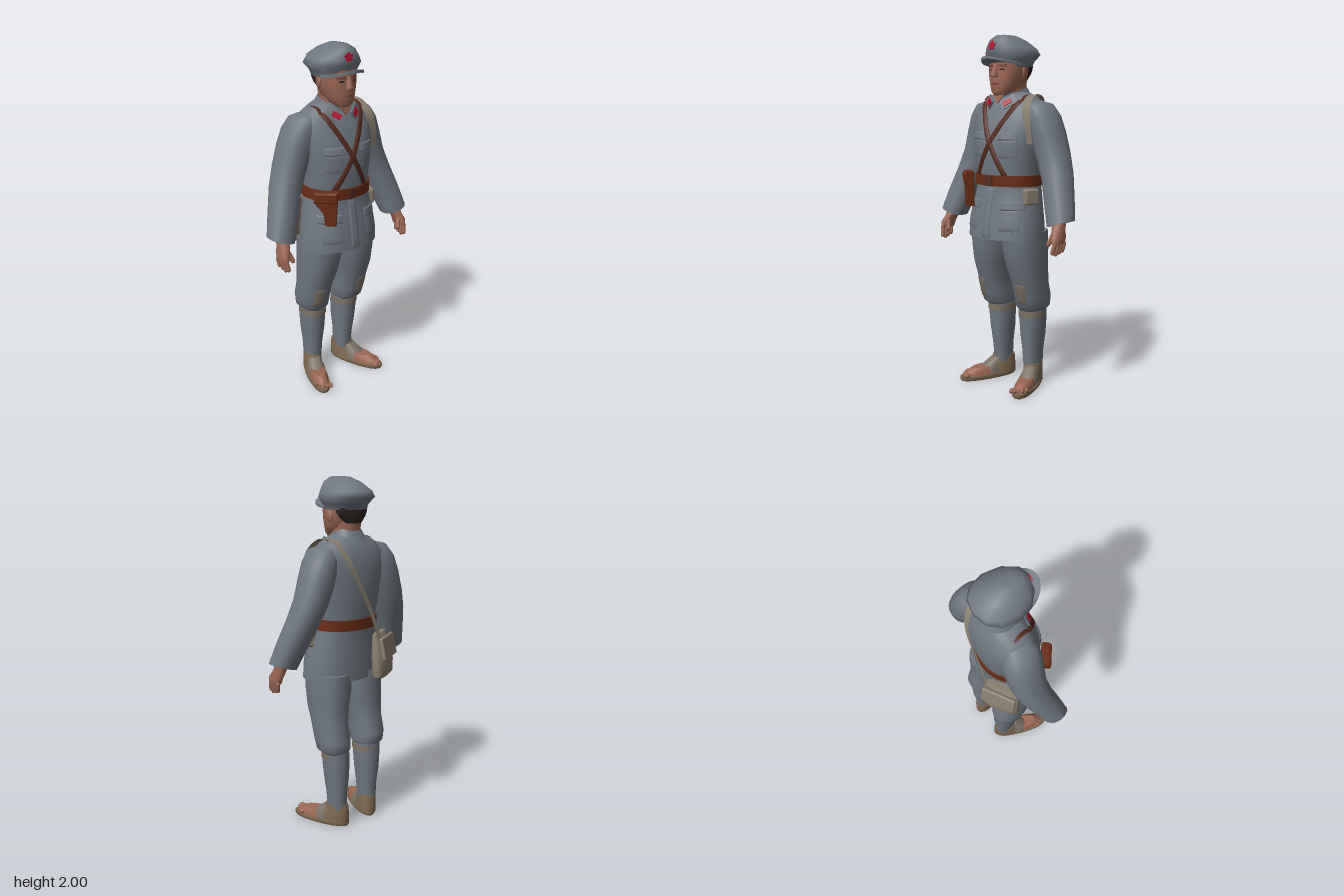
import * as THREE from 'three';
import { RoundedBoxGeometry } from 'three/addons/geometries/RoundedBoxGeometry.js';

const mat = (name, color, double) => {
  const m = new THREE.MeshStandardMaterial({ color });
  m.name = name;
  if (double) m.side = THREE.DoubleSide;
  return m;
};
const P = 2.25; // roundness of every cross-section
const pw = (c) => Math.sign(c) * Math.abs(c) ** (2 / P);

// Smooth skin through horizontal rings, listed bottom to top: [y, x, z, rx, rz, tilt]
function loft(secs, n = 24, capped = true) {
  const pos = [], idx = [];
  const ring = ([y, x, z, rx, rz, t = 0]) => {
    for (let i = 0; i < n; i++) {
      const a = (i / n) * Math.PI * 2, u = rx * pw(Math.cos(a));
      pos.push(x + u * Math.cos(t), y + u * Math.sin(t), z + rz * pw(Math.sin(a)));
    }
  };
  secs.forEach(ring);
  for (let j = 0; j < secs.length - 1; j++) for (let i = 0; i < n; i++) {
    const k = (i + 1) % n, a = j * n + i, b = a + n, c = j * n + k, d = c + n;
    idx.push(a, b, c, b, d, c);
  }
  if (capped) [secs[0], secs[secs.length - 1]].forEach((s, e) => {
    const o = pos.length / 3;
    ring(s);
    pos.push(s[1], s[0], s[2]);
    for (let i = 0; i < n; i++) {
      const k = (i + 1) % n;
      if (e) idx.push(o + n, o + k, o + i); else idx.push(o + n, o + i, o + k);
    }
  });
  return build(pos, idx);
}
function build(pos, idx) {
  const g = new THREE.BufferGeometry();
  g.setAttribute('position', new THREE.Float32BufferAttribute(pos, 3));
  g.setIndex(idx);
  g.computeVertexNormals();
  return g;
}
// Front z of a lofted body at x, y
function frontZ(secs, x, y) {
  let j = 0;
  while (j < secs.length - 2 && secs[j + 1][0] < y) j++;
  const A = secs[j], B = secs[j + 1], t = THREE.MathUtils.clamp((y - A[0]) / (B[0] - A[0]), 0, 1);
  const [, cx, cz, rx, rz] = A.map((v, i) => v + (B[i] - v) * t);
  const q = Math.min(1, Math.abs((x - cx) / rx));
  return cz + rz * (1 - q ** P) ** (1 / P);
}
// Thin panel laid on the front of a body, edges tucked in; corners bl, br, tr, tl
function patch(secs, [bl, br, tr, tl], off, nu = 5, nv = 7) {
  const pos = [], idx = [], mix = THREE.MathUtils.lerp;
  const step = (i, n) => (i === 0 ? 0 : i === n ? 1 : 0.04 + (0.92 * (i - 1)) / (n - 2));
  for (let v = 0; v <= nv; v++) for (let u = 0; u <= nu; u++) {
    const s = step(u, nu), t = step(v, nv), edge = u % nu === 0 || v % nv === 0;
    const x = mix(mix(bl[0], br[0], s), mix(tl[0], tr[0], s), t);
    const y = mix(mix(bl[1], br[1], s), mix(tl[1], tr[1], s), t);
    pos.push(x, y, frontZ(secs, x, y) + (edge ? -0.003 : off));
    if (u < nu && v < nv) {
      const a = v * (nu + 1) + u, b = a + nu + 1;
      idx.push(a, a + 1, b, a + 1, b + 1, b);
    }
  }
  return build(pos, idx);
}
const rect = (x, y, w, h) => [[x - w, y - h], [x + w, y - h], [x + w, y + h], [x - w, y + h]];
// Ribbon along a curve, its width running sideways and changing from w0 to w1
function ribbon(points, w0, w1, n = 40) {
  const c = new THREE.CatmullRomCurve3(points.map((p) => new THREE.Vector3(...p)));
  const pos = [], idx = [];
  c.getPoints(n).forEach((p, i) => {
    const w = w0 + ((w1 - w0) * i) / n;
    pos.push(p.x - w, p.y, p.z, p.x + w, p.y, p.z);
    if (i < n) idx.push(2 * i, 2 * i + 1, 2 * i + 2, 2 * i + 1, 2 * i + 3, 2 * i + 2);
  });
  return build(pos, idx);
}
const extrude = (pts, depth, bevel = 0) => new THREE.ExtrudeGeometry(
  new THREE.Shape(pts.map((p) => new THREE.Vector2(...p))),
  { depth, bevelEnabled: bevel > 0, bevelSize: bevel, bevelThickness: bevel, bevelSegments: 2 });

export function createModel() {
  const cloth = mat('grey cloth', 0x6e767f, true), skin = mat('skin', 0x9c6653);
  const canvas = mat('canvas', 0x8a7f70, true), sandal = mat('sandal', 0x7d6850), worn = mat('worn patch', 0x7c7266);
  const leather = mat('belt leather', 0x6a2b14), strap = mat('strap leather', 0x55291d, true);
  const red = mat('red', 0xb0102e), hairMat = mat('hair', 0x2d2422), shade = mat('dark skin', 0x7a483c);
  const root = new THREE.Group();
  const add = (name, geo, m, p = [0, 0, 0], r = [0, 0, 0], parent = root) => {
    const o = new THREE.Mesh(geo, m);
    o.name = name;
    o.position.set(...p);
    o.rotation.set(...r);
    parent.add(o);
    return o;
  };

  // Tunic
  const torso = [[0.88, 0, 0.045, 0.234, 0.168], [0.97, 0, 0.04, 0.23, 0.165], [1.1, 0, 0.028, 0.207, 0.154],
    [1.17, 0, 0.02, 0.192, 0.149], [1.23, 0, 0.018, 0.188, 0.154], [1.32, 0, 0.014, 0.2, 0.165],
    [1.42, 0, 0.01, 0.214, 0.168], [1.52, 0, -0.004, 0.234, 0.153], [1.6, 0, -0.013, 0.236, 0.128],
    [1.65, 0, -0.012, 0.172, 0.104], [1.675, 0, -0.012, 0.13, 0.09], [1.69, 0, -0.012, 0.09, 0.08]];
  add('tunic', loft(torso, 32), cloth);
  add('collar', loft([[-0.045, 0, 0, 0.108, 0.1], [0, 0, 0, 0.096, 0.094], [0.035, 0, 0, 0.084, 0.086]], 24, false),
    cloth, [0, 1.672, -0.004], [0.35, 0, 0]);
  add('tunicFlap', patch(torso, [[-0.03, 0.885], [0.02, 0.885], [0.02, 1.165], [-0.03, 1.165]], 0.007), cloth);
  for (const m of [-1, 1]) {
    add('chestPocket', patch(torso, rect(m * 0.105, 1.385, 0.05, 0.055), 0.004), cloth);
    add('chestPocketFlap', patch(torso, rect(m * 0.105, 1.45, 0.054, 0.022), 0.008), cloth);
    add('hipPocket', patch(torso, rect(m * 0.135, 0.995, 0.055, 0.065), 0.005), cloth);
    add('hipPocketFlap', patch(torso, rect(m * 0.135, 1.07, 0.06, 0.025), 0.009), cloth);
    // Collar wings with coloured tabs
    const wing = new THREE.Group();
    wing.name = 'collarWing';
    wing.position.set(m * 0.071, 1.637, 0.103);
    wing.rotation.set(-0.4, m * 0.4, m * 0.68);
    root.add(wing);
    add('collarWingCloth', new THREE.BoxGeometry(0.09, 0.052, 0.008), cloth, [0, 0, 0], [0, 0, 0], wing);
    add('collarTab', new THREE.BoxGeometry(0.052, 0.03, 0.006), red, [-m * 0.012, 0, 0.007], [0, 0, 0], wing);
  }
  add('throat', extrude([[-0.06, 0], [0, -0.078], [0.06, 0]], 0.006), skin, [0, 1.702, 0.1], [-0.2, 0, 0]);

  // Crossed chest straps, running over the shoulders
  for (const m of [-1, 1]) {
    const x0 = 0.108 * m - 0.01, x1 = -m * 0.135, w = 0.015;
    add('chestStrap', patch(torso, [[x0 - w, 1.22], [x0 + w, 1.22], [x1 + w, 1.655], [x1 - w, 1.655]], 0.01, 3, 30), strap);
    add('shoulderStrap', ribbon([[m * 0.135, 1.645, 0.07], [m * 0.135, 1.668, 0.04], [m * 0.14, 1.674, 0], [m * 0.145, 1.666, -0.035]],
      0.012, 0.012, 12), strap);
  }
  // Belt, buckle, holster, pouch
  add('belt', loft([[1.175, 0, 0.019, 0.2, 0.163], [1.235, 0, 0.019, 0.198, 0.165]], 32), leather);
  add('buckle', new RoundedBoxGeometry(0.055, 0.06, 0.012, 2, 0.004), strap, [-0.01, 1.205, 0.184]);
  const holster = new THREE.Group();
  holster.name = 'holster';
  holster.position.set(-0.168, 0, 0.163);
  holster.rotation.y = -0.7;
  root.add(holster);
  add('holsterBody', extrude([[-0.065, 1.24], [-0.06, 1.19], [-0.01, 1.13], [0.0, 1.06], [0.045, 1.06], [0.055, 1.24]], 0.035, 0.008),
    leather, [0, 0, -0.01], [0, 0, 0], holster);
  add('holsterFlap', new RoundedBoxGeometry(0.13, 0.06, 0.055, 2, 0.01), leather, [-0.005, 1.215, 0.012], [0, 0, 0], holster);
  add('pouch', new RoundedBoxGeometry(0.05, 0.09, 0.09, 2, 0.014), canvas, [0.2, 1.12, 0.07], [0, -0.35, 0]);

  // Shoulder bag
  const bag = new THREE.Group();
  bag.name = 'shoulderBag';
  bag.position.set(-0.165, 0.998, -0.13);
  bag.rotation.y = 0.5;
  root.add(bag);
  add('bagBody', loft([[-0.118, 0, 0, 0.1, 0.03], [-0.1, 0, 0, 0.116, 0.046], [0, 0, 0, 0.114, 0.046],
    [0.09, 0, 0.005, 0.105, 0.034], [0.135, 0, 0.012, 0.095, 0.018]], 24), canvas, [0, 0, 0], [0.06, 0, 0], bag);
  add('bagFlap', new RoundedBoxGeometry(0.205, 0.13, 0.024, 2, 0.01), canvas, [0, 0.055, -0.036], [0.2, 0, 0], bag);
  add('bagStrap', ribbon([[0.2, 1.41, 0.094], [0.192, 1.52, 0.102], [0.18, 1.6, 0.09], [0.168, 1.65, 0.05], [0.158, 1.676, 0],
    [0.14, 1.662, -0.085], [0.11, 1.58, -0.142], [0.06, 1.47, -0.165], [-0.03, 1.3, -0.17], [-0.115, 1.08, -0.178]], 0.031, 0.012), canvas);

  // Head
  add('neck', loft([[1.58, 0, 0, 0.072, 0.08], [1.68, 0, 0, 0.07, 0.08], [1.78, 0, -0.006, 0.076, 0.09]]), skin);
  const head = [[1.672, 0, 0.085, 0.035, 0.035], [1.69, 0, 0.07, 0.06, 0.065], [1.73, 0, 0.04, 0.083, 0.097],
    [1.78, 0, 0.026, 0.098, 0.111], [1.82, 0, 0.02, 0.104, 0.115], [1.87, 0, 0.015, 0.107, 0.118]];
  add('head', loft(head), skin);
  add('nose', loft([[1.768, 0, 0.138, 0.02, 0.018], [1.782, 0, 0.142, 0.021, 0.024], [1.84, 0, 0.13, 0.009, 0.012]], 10), skin);
  add('mouth', patch(head, rect(0, 1.735, 0.027, 0.005), 0.003), shade);
  add('hair', loft([[1.755, 0, -0.055, 0.055, 0.042], [1.79, 0, -0.055, 0.083, 0.05], [1.815, 0, -0.05, 0.098, 0.055],
    [1.86, 0, -0.045, 0.104, 0.064]]), hairMat);
  for (const m of [-1, 1]) {
    add('eye', patch(head, rect(m * 0.042, 1.812, 0.013, 0.004), 0.003), hairMat);
    add('eyebrow', patch(head, rect(m * 0.043, 1.832, 0.024, 0.007), 0.004), shade);
    add('ear', new THREE.SphereGeometry(1, 12, 8), skin, [m * 0.103, 1.795, 0.01], [0.15, m * 0.3, 0]).scale.set(0.01, 0.032, 0.02);
  }

  // Cap, visor and badge
  add('cap', loft([[1.828, 0, 0.004, 0.114, 0.118], [1.858, 0, 0, 0.124, 0.13], [1.892, 0, -0.01, 0.15, 0.155],
    [1.925, 0, -0.004, 0.128, 0.157], [1.97, 0, 0.026, 0.086, 0.118], [1.996, 0, 0.042, 0.04, 0.07], [2, 0, 0.042, 0.015, 0.03]], 12), cloth);
  const rim = [];
  for (let i = 0; i <= 20; i++) {
    const a = (i / 20) * Math.PI;
    rim.push([0.118 * Math.cos(a), 0.04 + 0.165 * Math.sin(a)]);
  }
  const visor = extrude(rim, 0.014);
  visor.rotateX(Math.PI / 2);
  const vp = visor.attributes.position;
  for (let i = 0; i < vp.count; i++) vp.setY(i, vp.getY(i) + 1.88 - 2.4 * vp.getX(i) ** 2);
  visor.computeVertexNormals();
  add('visor', visor, cloth);
  const star = [];
  for (let i = 0; i < 10; i++) {
    const a = Math.PI / 2 + (i * Math.PI) / 5, r = i % 2 ? 0.019 : 0.027;
    star.push([r * Math.cos(a), r * Math.sin(a)]);
  }
  add('capStar', extrude(star, 0.009), red, [-0.012, 1.938, 0.144], [-0.25, 0, 0]);

  for (const m of [-1, 1]) {
    const side = (s) => s.map(([y, x, z, rx, rz, t = 0]) => [y, m * x, z, rx, rz, m * t]);
    // Sleeve and hand
    add('sleeve', loft(side([[0.99, 0.402, 0.058, 0.076, 0.075, 0.3], [1.1, 0.366, 0.026, 0.08, 0.083, 0.32],
      [1.23, 0.32, -0.015, 0.084, 0.09, 0.33], [1.34, 0.277, -0.035, 0.088, 0.096, 0.33],
      [1.45, 0.238, -0.035, 0.092, 0.104, 0.36], [1.53, 0.208, -0.03, 0.092, 0.106, 0.45],
      [1.583, 0.18, -0.024, 0.08, 0.098, 0.62], [1.61, 0.145, -0.018, 0.05, 0.075, 0.75]])), cloth);
    add('palm', loft(side([[0.893, 0.42, 0.105, 0.022, 0.048], [0.925, 0.418, 0.1, 0.029, 0.051],
      [0.96, 0.405, 0.085, 0.03, 0.043], [1.0, 0.4, 0.07, 0.036, 0.038]]), 14), skin);
    for (let i = 0; i < 4; i++) {
      const len = [0.04, 0.055, 0.058, 0.05][i];
      add('finger', new THREE.CapsuleGeometry(0.0125, len, 3, 8), skin,
        [m * (0.427 - i * 0.002), 0.872 - (i === 2 ? 0.006 : 0), 0.072 + i * 0.024], [-0.22, 0, -m * 0.14]);
    }
    add('thumb', new THREE.CapsuleGeometry(0.013, 0.05, 3, 8), skin, [m * 0.388, 0.91, 0.13], [-0.35, 0, -m * 0.3]);

    // Trouser leg, knee patch, leg wrap
    const leg = side([[0.452, 0.122, -0.045, 0.068, 0.082], [0.475, 0.127, -0.042, 0.088, 0.102],
      [0.53, 0.13, -0.036, 0.09, 0.115], [0.62, 0.13, -0.012, 0.092, 0.114], [0.72, 0.124, 0.008, 0.104, 0.13],
      [0.82, 0.116, 0.015, 0.114, 0.142], [0.92, 0.114, 0.02, 0.116, 0.145]]);
    add('trouserLeg', loft(leg), cloth);
    const k = m < 0 ? -0.16 : 0.142;
    add('kneePatch', patch(leg, [[k - 0.024, 0.5], [k + 0.024, 0.5], [k + 0.036, 0.62], [k - 0.036, 0.62]], 0.004), worn);
    add('legWrap', loft(side([[0.09, 0.115, -0.06, 0.046, 0.062], [0.2, 0.116, -0.057, 0.051, 0.068],
      [0.3, 0.117, -0.056, 0.063, 0.08], [0.4, 0.118, -0.053, 0.071, 0.084], [0.47, 0.12, -0.05, 0.07, 0.084]])), cloth);
    add('wrapTie', loft(side([[0.412, 0.118, -0.049, 0.072, 0.086], [0.45, 0.118, -0.049, 0.072, 0.086]])), worn);

    // Foot in an open sandal, turned outwards
    const foot = new THREE.Group();
    foot.name = 'foot';
    foot.position.set(m * 0.117, 0, -0.06);
    foot.rotation.y = m * 0.36;
    root.add(foot);
    const part = (name, geo, material) => add(name, geo, material, [0, 0, 0], [0, 0, 0], foot);
    part('sole', loft([[0, 0, 0.105, 0.054, 0.176], [0.012, 0, 0.105, 0.061, 0.183], [0.026, 0, 0.105, 0.059, 0.181]]), sandal);
    part('bareFoot', loft([[0.02, 0, 0.105, 0.053, 0.166], [0.045, 0, 0.1, 0.052, 0.158], [0.07, 0, 0.08, 0.043, 0.13]]), skin);
    part('heelCup', loft([[0.02, 0, 0.025, 0.056, 0.1], [0.06, 0, 0.015, 0.054, 0.09], [0.105, 0, 0, 0.05, 0.072],
      [0.128, 0, 0, 0.048, 0.067]]), sandal);
    part('instep', loft([[0.03, 0, 0.09, 0.056, 0.07], [0.06, 0, 0.085, 0.052, 0.065], [0.085, 0, 0.065, 0.042, 0.055],
      [0.115, 0, 0.035, 0.035, 0.04]]), worn);
    for (let i = 0; i < 5; i++) {
      const t = add('toe', new THREE.SphereGeometry(1, 8, 6), skin,
        [m * (-0.037 + i * 0.019), 0.036, 0.262 - i * i * 0.0025], [0, 0, 0], foot);
      t.scale.set(i ? 0.011 : 0.015, 0.014, 0.022);
    }
  }
  return root;
}
